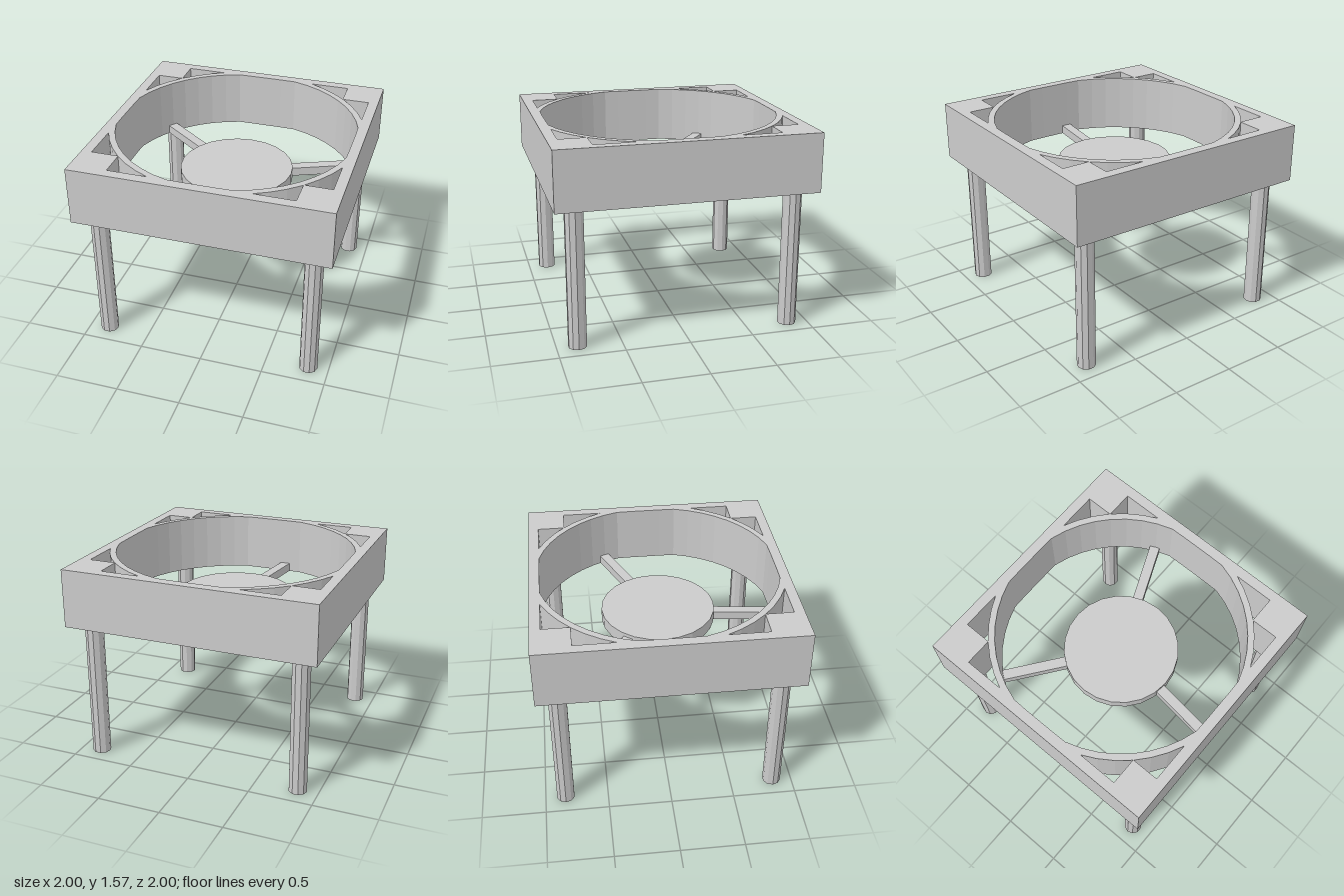
import * as THREE from 'three';

const BOTTOM = 1.11, TOP = 1.57;   // frame heights
const WALL = 0.92;                 // inner face of the outer walls
const RING_IN = 0.95, RING_OUT = 1.0;
const rad = THREE.MathUtils.degToRad;

export function createModel() {
  const group = new THREE.Group();
  const grey = new THREE.MeshStandardMaterial({ color: 0xcccccc, flatShading: true });
  grey.name = 'light grey';

  const add = (name, geometry, x = 0, y = 0, z = 0) => {
    const mesh = new THREE.Mesh(geometry, grey);
    mesh.name = name;
    mesh.position.set(x, y, z);
    group.add(mesh);
    return mesh;
  };

  // Square frame outline
  const outline = new THREE.Shape([[-1, -1], [1, -1], [1, 1], [-1, 1]].map(p => new THREE.Vector2(...p)));

  // Round opening, flattened where it meets the walls
  const opening = [];
  for (let i = 0; i < 48; i++) {
    const a = rad(i * 7.5);
    opening.push(new THREE.Vector2(
      THREE.MathUtils.clamp(RING_IN * Math.cos(a), -WALL, WALL),
      THREE.MathUtils.clamp(RING_IN * Math.sin(a), -WALL, WALL)));
  }
  outline.holes.push(new THREE.Path(opening));

  // Two curved triangular pockets beside each corner block
  const inner = 0.705;
  const pocket = [[WALL, inner]];
  const start = Math.acos(inner / RING_OUT) - 0.004, end = Math.acos(WALL / RING_OUT);
  pocket.push([RING_OUT * Math.cos(Math.asin(inner)), inner]);
  for (const deg of [37.5, 30]) {
    const a = rad(deg);
    if (a < start && a > end) pocket.push([RING_OUT * Math.cos(a), RING_OUT * Math.sin(a)]);
  }
  pocket.push([WALL, RING_OUT * Math.sin(end)]);
  for (const sx of [-1, 1]) for (const sy of [-1, 1]) for (const swap of [false, true]) {
    outline.holes.push(new THREE.Path(pocket.map(([u, v]) =>
      swap ? new THREE.Vector2(sx * v, sy * u) : new THREE.Vector2(sx * u, sy * v))));
  }

  const frame = new THREE.ExtrudeGeometry(outline, { depth: TOP - BOTTOM, bevelEnabled: false });
  frame.rotateX(-Math.PI / 2);
  add('frame', frame, 0, BOTTOM, 0);

  // Central hub disc, flush with the frame's underside
  const hubHeight = 0.1;
  add('hub', new THREE.CylinderGeometry(0.452, 0.452, hubHeight, 24), 0, BOTTOM + hubHeight / 2, 0);

  // Three spokes from hub to ring
  for (const deg of [97, 217, 337]) {
    const a = rad(deg), r0 = 0.42, r1 = 0.965, mid = (r0 + r1) / 2;
    const spoke = add('spoke', new THREE.BoxGeometry(r1 - r0, 0.07, 0.08),
      mid * Math.cos(a), BOTTOM + 0.035, mid * Math.sin(a));
    spoke.rotation.y = -a;
  }

  // Four ten-sided legs under the corner blocks
  const leg = new THREE.CylinderGeometry(0.072, 0.072, BOTTOM, 10);
  leg.rotateY(Math.PI / 2);
  for (const x of [-0.84, 0.84]) for (const z of [-0.84, 0.84]) add('leg', leg, x, BOTTOM / 2, z);

  return group;
}
